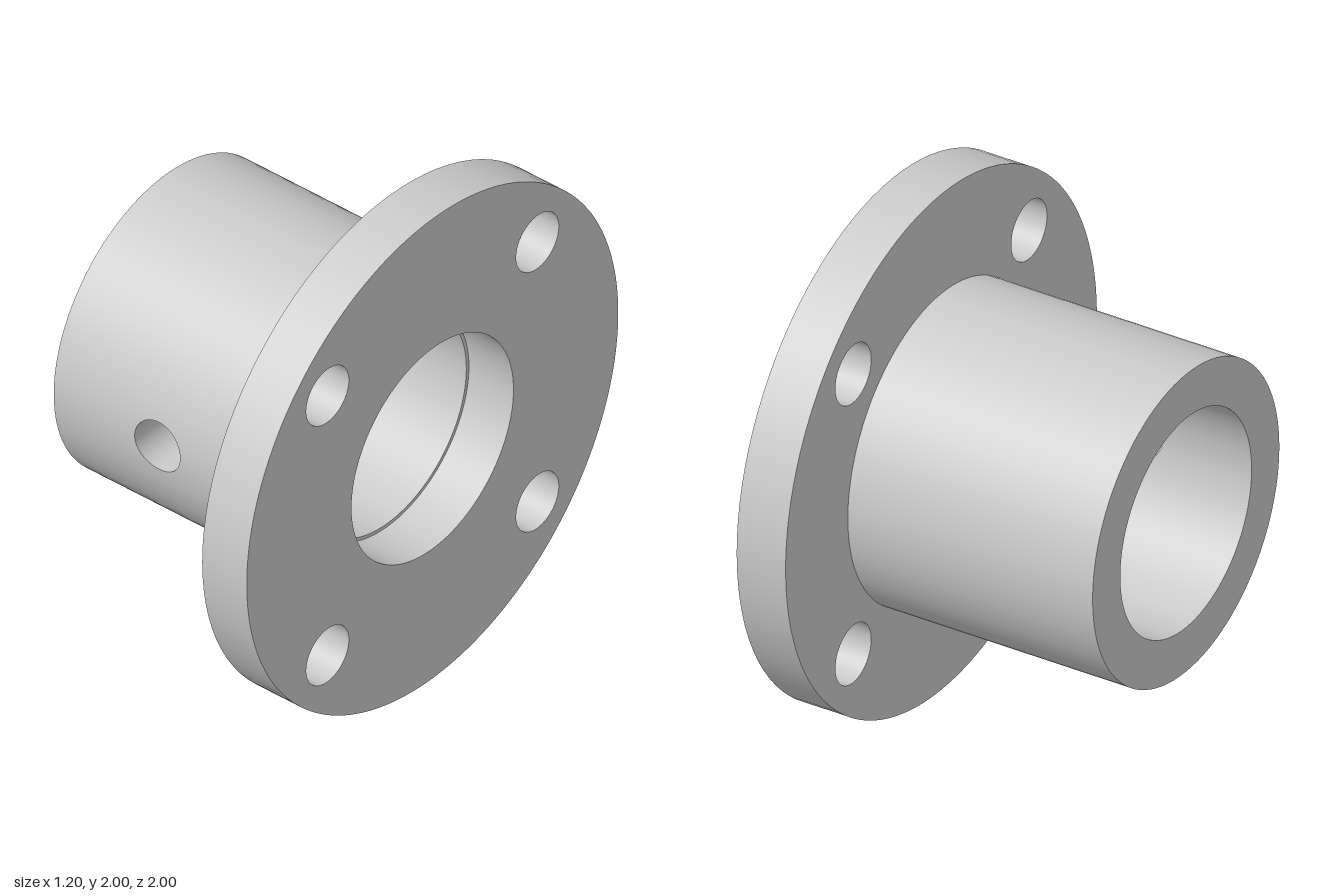
import * as THREE from 'three';

const SEG = 96;                          // sides of the full circles
const X0 = -0.6, X1 = 0.4, X2 = 0.6;     // sleeve end, flange back, flange face
const R_FLANGE = 1, R_SLEEVE = 0.6, R_BORE = 0.422, R_COUNTERBORE = 0.436;
const BOLT = 0.565, R_BOLT = 0.115;      // bolt hole offset and radius
const HOLE_X = -0.135, R_HOLE = 0.102;   // radial hole in the front wall
const T = Math.PI / 6;                   // half angle of the wall patch round that hole

const material = new THREE.MeshStandardMaterial({ color: 0xcccccc });

function add(parent, name, geometry) {
  const mesh = new THREE.Mesh(geometry, material);
  mesh.name = name;
  parent.add(mesh);
  return mesh;
}

// Surface swept round the x axis from [radius, x] to [radius, x];
// rising x faces outward, falling x faces inward.
function turned(from, to, segments = SEG, start = 0, length = Math.PI * 2) {
  const points = [from, to].map(([r, x]) => new THREE.Vector2(r, x));
  return new THREE.LatheGeometry(points, segments, start, length).rotateZ(-Math.PI / 2);
}

// Flange face with its centre opening and four bolt holes.
function flangeFace(opening, side) {
  const shape = new THREE.Shape().absarc(0, 0, R_FLANGE, 0, Math.PI * 2);
  const cut = (x, y, r) => shape.holes.push(new THREE.Path().absarc(x, y, r, 0, Math.PI * 2));
  cut(0, 0, opening);
  for (const sx of [-1, 1]) for (const sy of [-1, 1]) cut(sx * BOLT, sy * BOLT, R_BOLT);
  return new THREE.ShapeGeometry(shape, SEG).rotateY(side * Math.PI / 2);
}

// Grid surface; at(i, j) returns [position, normal].
function grid(nu, nv, at, flip) {
  const positions = [], normals = [], index = [];
  for (let i = 0; i <= nu; i++) {
    for (let j = 0; j <= nv; j++) {
      const [p, n] = at(i, j);
      positions.push(...p);
      normals.push(...n);
      if (i === nu || j === nv) continue;
      const a = i * (nv + 1) + j, b = a + 1, c = a + nv + 1, d = c + 1;
      if (flip) index.push(a, c, b, b, c, d);
      else index.push(a, b, c, b, d, c);
    }
  }
  const g = new THREE.BufferGeometry();
  g.setAttribute('position', new THREE.Float32BufferAttribute(positions, 3));
  g.setAttribute('normal', new THREE.Float32BufferAttribute(normals, 3));
  g.setIndex(index);
  return g;
}

// Patch border as [x, angle], counterclockwise, 16 steps per side.
const border = [];
const corners = [[X1, -T], [X1, T], [X0, T], [X0, -T]];
for (let s = 0; s < 4; s++) {
  const [a, b] = [corners[s], corners[(s + 1) % 4]];
  for (let k = 0; k < 16; k++) {
    border.push([0, 1].map((c) => a[c] + (b[c] - a[c]) * k / 16));
  }
}
border.push(border[0]);
const holeAngles = border.map(([x, t]) => Math.atan2(t * R_SLEEVE, x - HOLE_X));

// Point of the radial hole's rim on a wall of the given radius.
function rim(i, radius) {
  const y = R_HOLE * Math.sin(holeAngles[i]);
  return [HOLE_X + R_HOLE * Math.cos(holeAngles[i]), Math.asin(y / radius)];
}

// Cylinder wall patch between the radial hole and the patch border.
function pierced(radius, side) {
  const rows = 16;
  return grid(64, rows, (i, j) => {
    const [hx, ht] = rim(i, radius), [bx, bt] = border[i], f = j / rows;
    const x = hx + (bx - hx) * f, t = ht + (bt - ht) * f;
    const s = Math.sin(t), c = Math.cos(t);
    return [[x, radius * s, radius * c], [0, side * s, side * c]];
  }, side < 0);
}

export function createModel() {
  const model = new THREE.Group();
  model.name = 'flangedBushing';

  // Flange disc
  const flange = new THREE.Group();
  flange.name = 'flange';
  add(flange, 'flangeFace', flangeFace(R_COUNTERBORE, 1)).position.x = X2;
  add(flange, 'flangeBack', flangeFace(R_SLEEVE, -1)).position.x = X1;
  add(flange, 'flangeRim', turned([R_FLANGE, X1], [R_FLANGE, X2]));
  add(flange, 'counterbore', turned([R_COUNTERBORE, X2], [R_COUNTERBORE, X1]));
  add(flange, 'boreStep', turned([R_COUNTERBORE, X1], [R_BORE, X1]));
  for (const sy of [-1, 1]) {
    for (const sz of [-1, 1]) {
      add(flange, 'boltHole', turned([R_BOLT, X2], [R_BOLT, X1])).position.set(0, sy * BOLT, sz * BOLT);
    }
  }

  // Sleeve with its bore and the radial hole through the front wall
  const sleeve = new THREE.Group();
  sleeve.name = 'sleeve';
  const rest = [SEG - 16, T, Math.PI * 2 - 2 * T];
  add(sleeve, 'outerWall', turned([R_SLEEVE, X0], [R_SLEEVE, X1], ...rest));
  add(sleeve, 'outerWallFront', pierced(R_SLEEVE, 1));
  add(sleeve, 'bore', turned([R_BORE, X1], [R_BORE, X0], ...rest));
  add(sleeve, 'boreFront', pierced(R_BORE, -1));
  add(sleeve, 'sleeveEnd', turned([R_BORE, X0], [R_SLEEVE, X0]));
  add(sleeve, 'radialHole', grid(64, 1, (i, j) => {
    const radius = j ? R_BORE : R_SLEEVE, [x, t] = rim(i, radius), a = holeAngles[i];
    return [[x, radius * Math.sin(t), radius * Math.cos(t)], [-Math.cos(a), -Math.sin(a), 0]];
  }, true));

  model.add(flange, sleeve);
  for (const part of model.children) part.position.y = R_FLANGE;
  return model;
}
